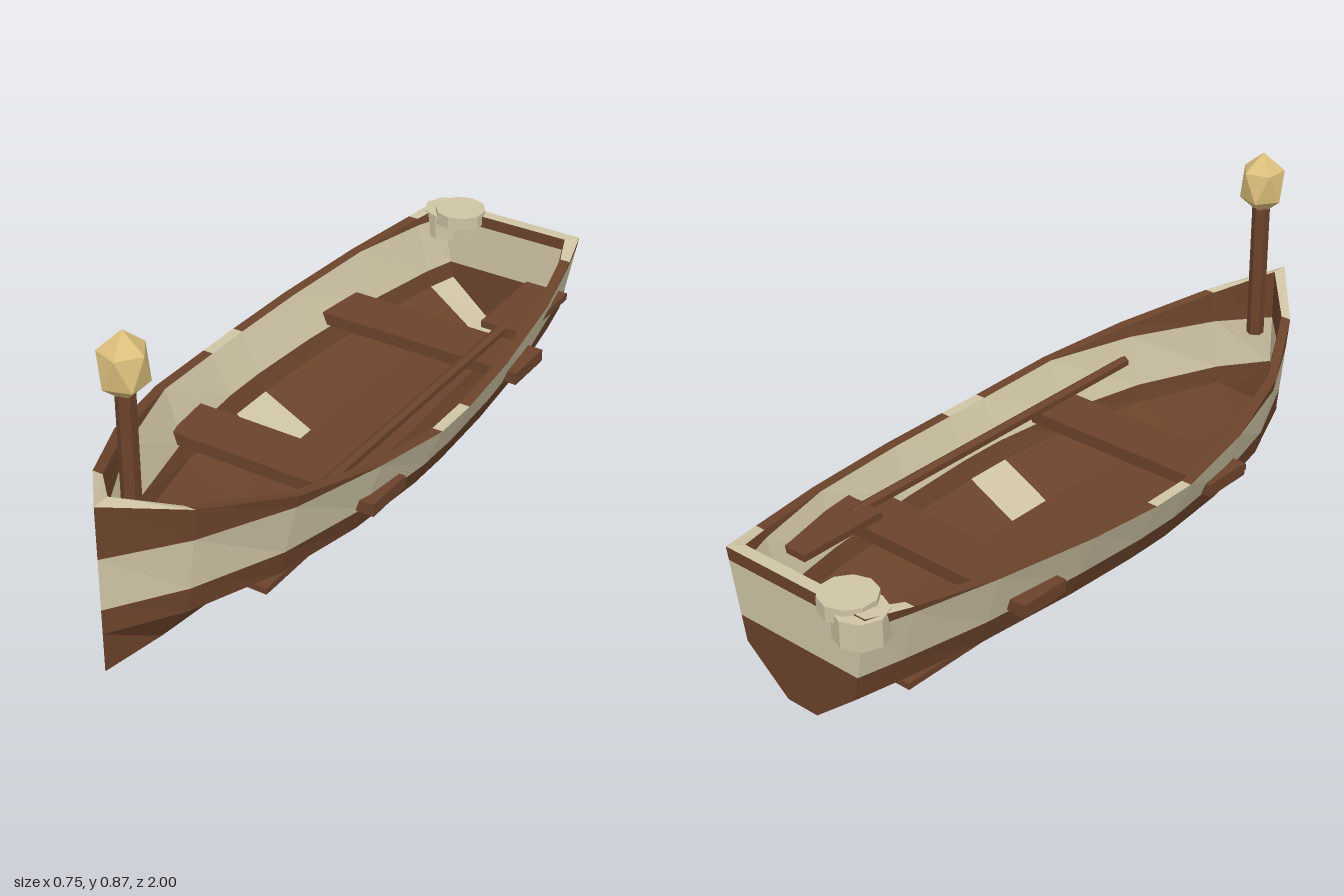
import * as THREE from 'three';

const material = (name, color) => {
  const m = new THREE.MeshStandardMaterial({ color, flatShading: true });
  m.name = name;
  return m;
};

export function createModel() {
  const boat = new THREE.Group();
  boat.name = 'rowingBoat';
  const wood = material('brownWood', 0x6b432b);
  const cream = material('creamPaint', 0xcfc4a5);
  const gold = material('lanternGold', 0xdcbf7c);

  const add = (name, geometry, mat, x = 0, y = 0, z = 0) => {
    const mesh = new THREE.Mesh(geometry, mat);
    mesh.name = name;
    mesh.position.set(x, y, z);
    boat.add(mesh);
    return mesh;
  };

  // Hull stations from stern to bow: z, half width at the rim, rim height
  const stations = [
    [-0.96, 0.235, 0.36], [-0.835, 0.268, 0.345], [-0.6, 0.32, 0.325],
    [-0.3, 0.358, 0.308], [-0.07, 0.373, 0.298], [0.07, 0.373, 0.298],
    [0.32, 0.345, 0.325], [0.58, 0.275, 0.36], [0.82, 0.15, 0.415], [1, 0, 0.472],
  ];
  const bandLow = 0.18, bandHigh = 0.325;

  // Half section: outer keel to rim (0-5), then inner rim to floor (6-11)
  const section = ([z, w, top]) => {
    const k = w / 0.375;
    const zin = z > 0.99 ? 0.95 : z < -0.95 ? -0.925 : z;
    const inner = Math.max(0, w - 0.03);
    const chine = 0.295 * k, innerChine = Math.max(0, chine - 0.025);
    const high = Math.min(bandHigh, top);
    const out = (y) => [THREE.MathUtils.mapLinear(y, 0.11, top, chine, w), y, z];
    const inn = (y) => [THREE.MathUtils.mapLinear(y, 0.13, top, innerChine, inner), y, zin];
    return [
      [0, 0, z], [0.08 * k, 0, z], [chine, 0.11, z], out(bandLow), out(high), out(top),
      inn(top), inn(high), inn(bandLow), [innerChine, 0.13, zin], [0.07 * k, 0.03, zin], [0, 0.03, zin],
    ];
  };
  const rows = stations.map(section);
  const faces = { wood: [], cream: [] };
  const flip = ([x, y, z]) => [-x, y, z];
  const quad = (key, a, b, c, d) => {
    for (const t of [[a, b, c], [a, c, d]]) {
      const tri = new THREE.Triangle(...t.map((p) => new THREE.Vector3(...p)));
      if (tri.getArea() > 1e-7) faces[key].push(...t.flat());
    }
  };

  // Painted side band, plus cream panels on bottom, floor and rim
  const colourOf = (j, z) => {
    if (j === 3 || j === 7) return 'cream';
    const panel = Math.abs(z) < 0.07 || z < -0.835 || (j === 5 && z > 0.82);
    return panel && (j < 2 || j === 5 || j > 8) ? 'cream' : 'wood';
  };
  for (let i = 0; i < rows.length - 1; i++) {
    const mid = (stations[i][0] + stations[i + 1][0]) / 2;
    for (let j = 0; j < 11; j++) {
      const a = rows[i][j], b = rows[i][j + 1], c = rows[i + 1][j + 1], d = rows[i + 1][j];
      const key = colourOf(j, mid);
      quad(key, a, b, c, d);
      quad(key, flip(d), flip(c), flip(b), flip(a));
    }
  }
  // Transom: outer face, rim and inner face
  for (let j = 1; j < 10; j++) {
    const a = rows[0][j], b = rows[0][j + 1];
    quad([3, 5, 7].includes(j) ? 'cream' : 'wood', a, flip(a), flip(b), b);
  }
  for (const [key, mat] of [['wood', wood], ['cream', cream]]) {
    const g = new THREE.BufferGeometry();
    g.setAttribute('position', new THREE.Float32BufferAttribute(faces[key], 3));
    g.computeVertexNormals();
    add(key === 'wood' ? 'hullTimber' : 'hullPaintedBand', g, mat);
  }

  // Floorboard and benches, whose ends pass through the hull
  add('floorboard', new THREE.BoxGeometry(0.364, 0.018, 1.37), wood, 0, 0.046, -0.095);
  for (const [name, z] of [['frontBench', 0.275], ['rearBench', -0.463]]) {
    add(name, new THREE.BoxGeometry(0.684, 0.036, 0.153), wood, 0, 0.207, z);
  }

  // Oar resting along one side
  add('oarShaft', new THREE.CylinderGeometry(0.016, 0.016, 1.1, 6).rotateX(Math.PI / 2), wood, 0.225, 0.266, -0.01);
  add('oarBlade', new THREE.BoxGeometry(0.13, 0.02, 0.27), wood, 0.227, 0.266, -0.645);

  // Bow post and lantern
  add('lanternPost', new THREE.CylinderGeometry(0.025, 0.025, 0.4, 6), wood, 0, 0.51, 0.865);
  const lantern = new THREE.IcosahedronGeometry(1, 0);
  lantern.rotateZ(-Math.atan(2 / (1 + Math.sqrt(5)))).scale(0.068, 0.093, 0.068);
  add('lantern', lantern, gold, 0, 0.776, 0.865);

  // Coiled rope discs on the stern corner
  add('ropeCoilTop', new THREE.CylinderGeometry(0.075, 0.075, 0.04, 10), cream, -0.14, 0.352, -0.92);
  add('ropeCoilBottom', new THREE.CylinderGeometry(0.07, 0.07, 0.075, 8), cream, -0.19, 0.318, -0.93);

  return boat;
}
